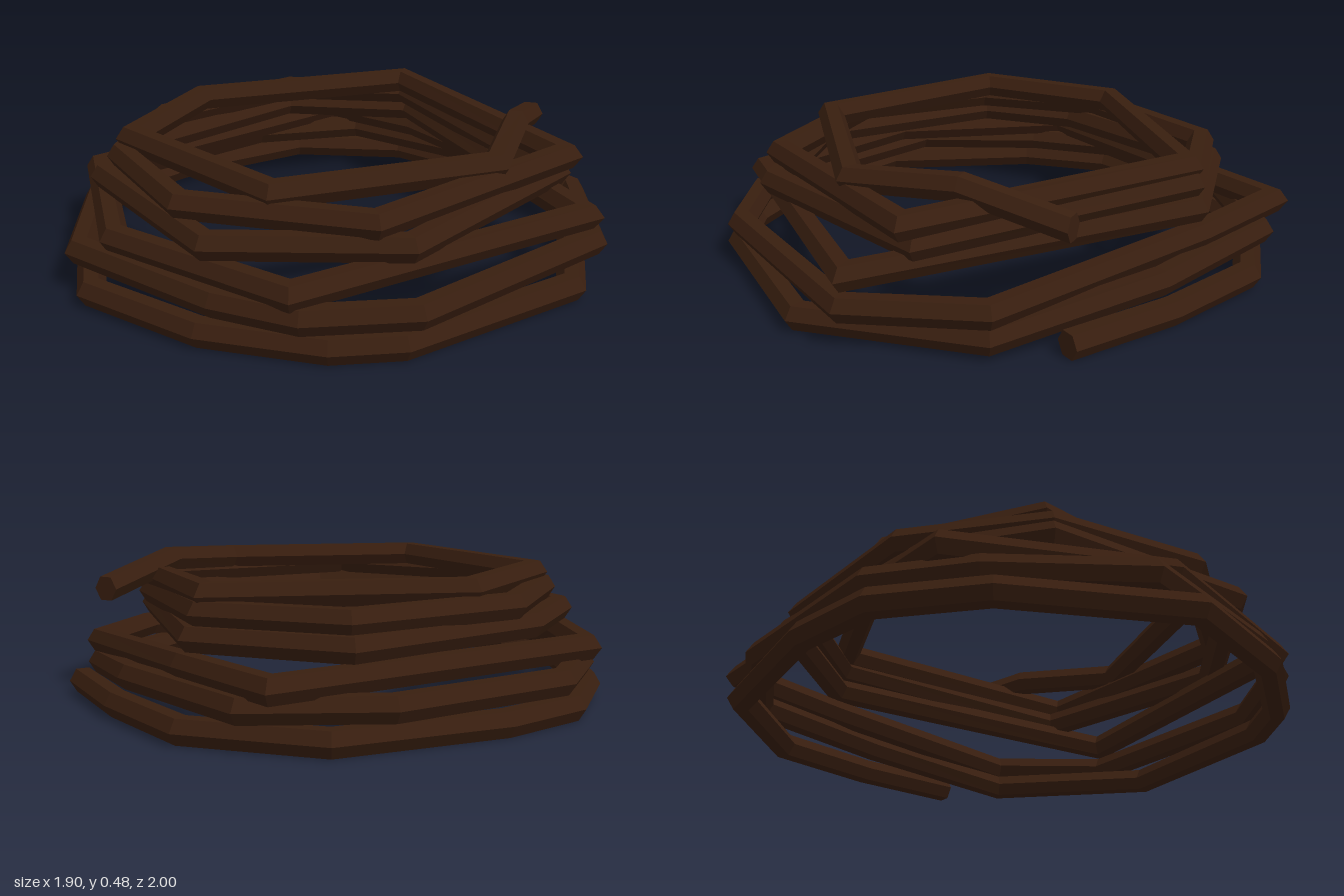
import * as THREE from 'three';

// Turns of the coil, bottom to top: height and corners [x, z]
const TURNS = [
  { y: 0.042, corners: [[.79, -.42], [.49, -.68], [.15, -.89], [-.31, -.86], [-.73, -.48], [-.89, -.22],
    [-.89, .14], [-.67, .7], [-.26, .9], [.13, .94], [.34, .88], [.83, .42]] },
  { y: 0.127, corners: [[.85, -.2], [.46, -.64], [-.05, -.91], [-.46, -.74], [-.86, -.24], [-.87, .1],
    [-.75, .58], [-.22, .87], [.05, .94], [.38, .85], [.9, .24]] },
  { y: 0.2, corners: [[.85, -.2], [.22, -.73], [-.16, -.94], [-.9, -.01], [-.61, .63], [.02, .94]] },
  { y: 0.28, corners: [[.87, .24], [.2, -.71], [-.32, -.7], [-.73, -.1], [-.76, .29], [-.26, .81], [.34, .73]] },
  { y: 0.355, corners: [[.77, .05], [.18, -.69], [-.3, -.67], [-.69, -.2], [-.7, .28], [-.37, .69], [.24, .75]] },
  { y: 0.41, corners: [[.8, .08], [.17, -.67], [-.57, -.28], [-.67, .25], [-.08, .7], [.57, .34],
    [.63, -.05], [.69, -.41]] },
];
const SIDES = 6, RADIUS = 0.047;

// Each turn starts just above the one below, then climbs to its own height
function coilPath() {
  const path = TURNS.flatMap(({ y, corners }, n) => corners.map(([x, z], i) => {
    const startY = n > 0 ? THREE.MathUtils.lerp(TURNS[n - 1].y, y, 0.2) : y;
    return new THREE.Vector3(x, i === 0 ? startY : y, z);
  }));
  // The loose top end lifts over the coil and drops
  path.at(-2).y += 0.03;
  path.at(-1).y -= 0.04;
  return path;
}

// Sweeps a hexagon along the path with mitred corners and closed ends
function ropeGeometry(path) {
  const up = new THREE.Vector3(0, 1, 0);
  const flatDir = (a, b) => new THREE.Vector3(b.x - a.x, 0, b.z - a.z).normalize();
  const end = path.length - 1;
  const rings = path.map((p, i) => {
    const before = flatDir(path[Math.max(i - 1, 0)], path[Math.max(i, 1)]);
    const after = flatDir(path[Math.min(i, end - 1)], path[Math.min(i + 1, end)]);
    const t = before.clone().add(after).normalize();
    const side = new THREE.Vector3().crossVectors(up, t);
    const mitre = 1 / Math.max(t.dot(after), 0.6);
    return Array.from({ length: SIDES }, (_, j) => {
      const a = j / SIDES * Math.PI * 2;
      return p.clone().addScaledVector(side, Math.cos(a) * RADIUS * mitre)
        .addScaledVector(up, Math.sin(a) * RADIUS);
    });
  });

  const pos = [];
  const tri = (...corners) => corners.forEach((v) => pos.push(v.x, v.y, v.z));
  for (let i = 0; i < end; i++) {
    for (let j = 0; j < SIDES; j++) {
      const k = (j + 1) % SIDES;
      tri(rings[i][j], rings[i][k], rings[i + 1][k]);
      tri(rings[i][j], rings[i + 1][k], rings[i + 1][j]);
    }
  }
  // End caps
  const first = rings[0], last = rings[end];
  for (let j = 1; j < SIDES - 1; j++) {
    tri(first[0], first[j + 1], first[j]);
    tri(last[0], last[j], last[j + 1]);
  }
  const geometry = new THREE.BufferGeometry();
  geometry.setAttribute('position', new THREE.Float32BufferAttribute(pos, 3));
  geometry.computeVertexNormals();
  return geometry;
}

export function createModel() {
  const group = new THREE.Group();
  group.name = 'ropeCoil';
  const rope = new THREE.Mesh(
    ropeGeometry(coilPath()),
    new THREE.MeshStandardMaterial({ color: 0x381e0f, flatShading: true }),
  );
  rope.name = 'rope';
  group.add(rope);
  return group;
}
